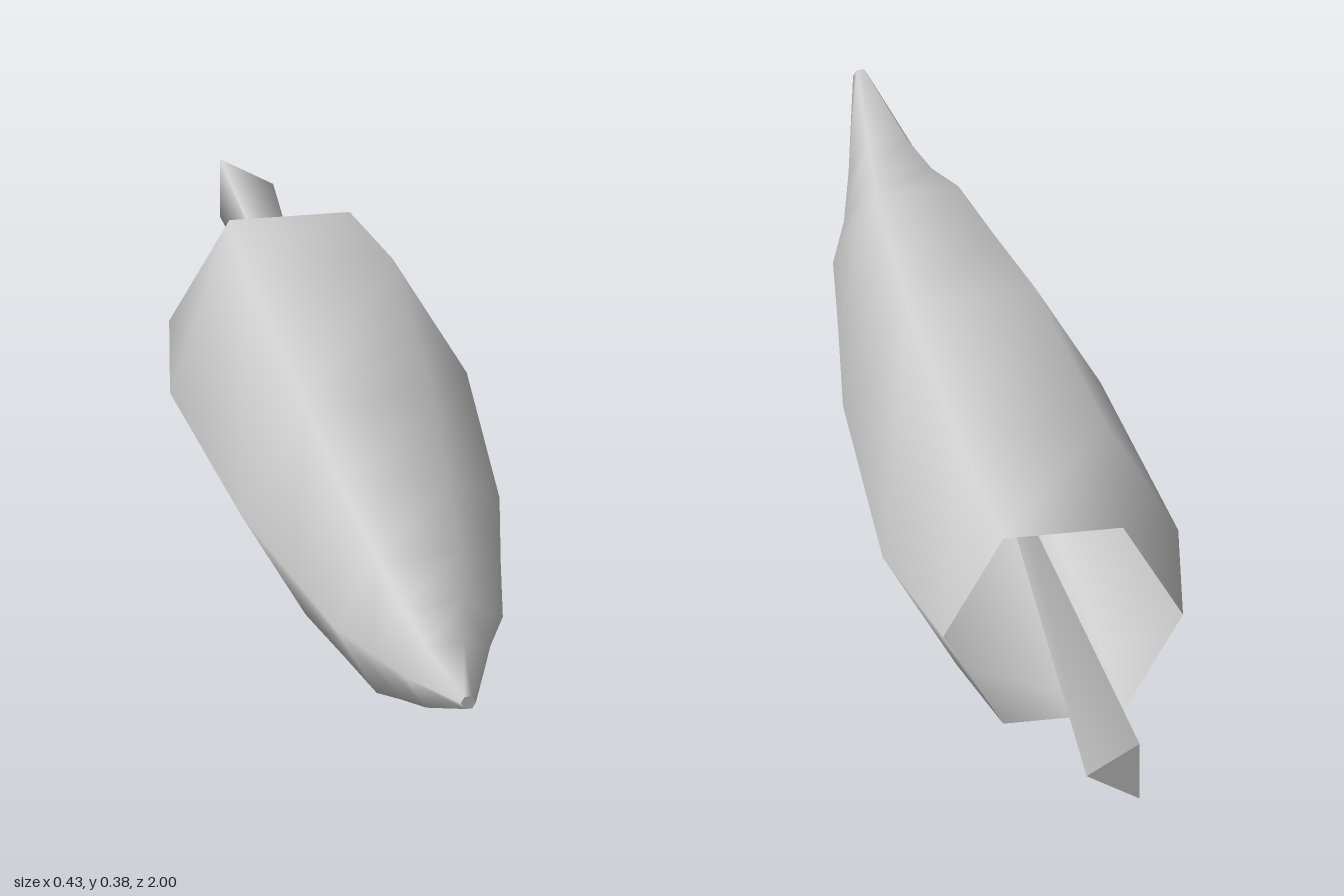
import * as THREE from 'three';

const SIDES = 6;

// Rings from tip to open end: [z, centre height, radius]
const RINGS = [
  [1.0, 0.254, 0.011],
  [0.8, 0.209, 0.056],
  [0.68, 0.196, 0.086],
  [0.57, 0.192, 0.123],
  [0.38, 0.191, 0.152],
  [0.15, 0.191, 0.189],
  [-0.3, 0.189, 0.217],
  [-0.55, 0.19, 0.176],
];

// Smooth six-sided skin through the rings, open at the back
function skinGeometry(rings) {
  const positions = [];
  const index = [];
  rings.forEach(([z, cy, r], i) => {
    for (let j = 0; j < SIDES; j++) {
      const a = (j / SIDES) * Math.PI * 2;
      positions.push(r * Math.cos(a), cy + r * Math.sin(a), z);
      if (i === rings.length - 1) continue;
      const k = (j + 1) % SIDES;
      const p = i * SIDES, q = p + SIDES;
      index.push(p + j, q + j, p + k, q + j, q + k, p + k);
    }
  });
  const g = new THREE.BufferGeometry();
  g.setAttribute('position', new THREE.Float32BufferAttribute(positions, 3));
  g.setIndex(index);
  g.computeVertexNormals();
  return g;
}

export function createModel() {
  const group = new THREE.Group();
  const grey = new THREE.MeshStandardMaterial({ color: 0xcccccc, side: THREE.DoubleSide });
  grey.name = 'grey';

  const add = (name, geometry) => {
    const mesh = new THREE.Mesh(geometry, grey);
    mesh.name = name;
    group.add(mesh);
    return mesh;
  };

  // Hollow hexagonal body
  add('body', skinGeometry(RINGS));

  // Flat cap closing the pointed end
  const [tipZ, tipY, tipR] = RINGS[0];
  add('tipCap', new THREE.CircleGeometry(tipR, SIDES)).position.set(0, tipY, tipZ);

  // Three-sided stem, flaring towards the back and running into the body
  const front = -0.2, back = -1;
  const stem = new THREE.CylinderGeometry(0.013, 0.052, front - back, 3, 1, false, Math.PI / 2);
  stem.rotateX(Math.PI / 2);
  add('stem', stem).position.set(0, 0.192, (front + back) / 2);

  return group;
}
